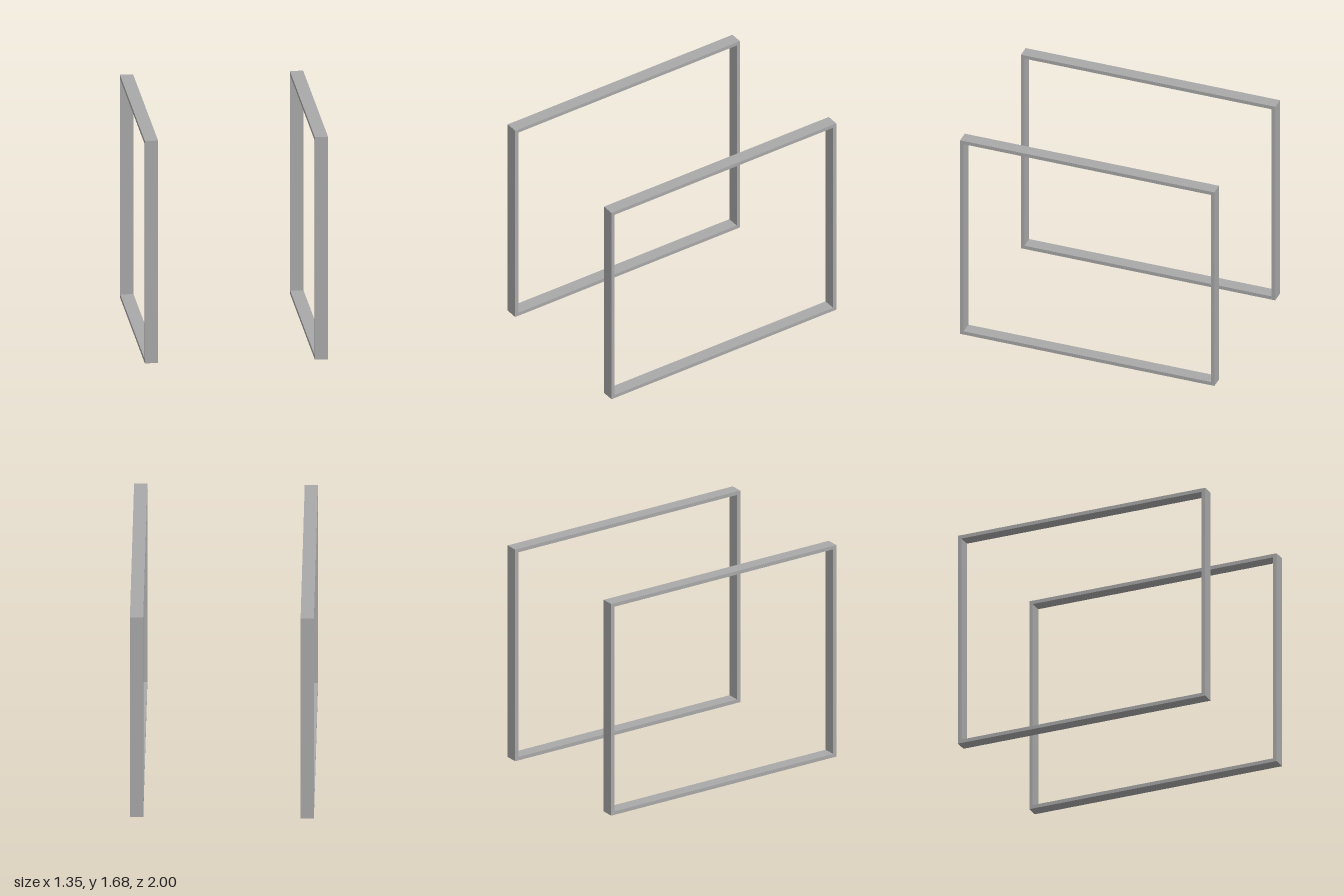
import * as THREE from 'three';

const HEIGHT = 1.685, LENGTH = 2, WIDTH = 0.098, BAR = 0.028, OFFSET = 0.627;

// Rectangular outline with its base on y = 0, inset evenly on every side
function outline(target, inset) {
  const x = LENGTH / 2 - inset, y0 = inset, y1 = HEIGHT - inset;
  target.moveTo(-x, y0);
  target.lineTo(x, y0);
  target.lineTo(x, y1);
  target.lineTo(-x, y1);
  target.closePath();
  return target;
}

export function createModel() {
  const model = new THREE.Group();
  model.name = 'framePair';
  const steel = new THREE.MeshStandardMaterial({ color: 0xa8a8a8 });
  steel.name = 'steel grey';

  // Flat-bar frame, open in the middle, standing along z
  const shape = outline(new THREE.Shape(), 0);
  shape.holes.push(outline(new THREE.Path(), BAR));
  const geometry = new THREE.ExtrudeGeometry(shape, { depth: WIDTH, bevelEnabled: false });
  geometry.translate(0, 0, -WIDTH / 2);
  geometry.rotateY(Math.PI / 2);

  // One frame on each side
  for (const [name, side] of [['leftFrame', 1], ['rightFrame', -1]]) {
    const frame = new THREE.Mesh(geometry, steel);
    frame.name = name;
    frame.position.x = side * OFFSET;
    model.add(frame);
  }
  return model;
}
